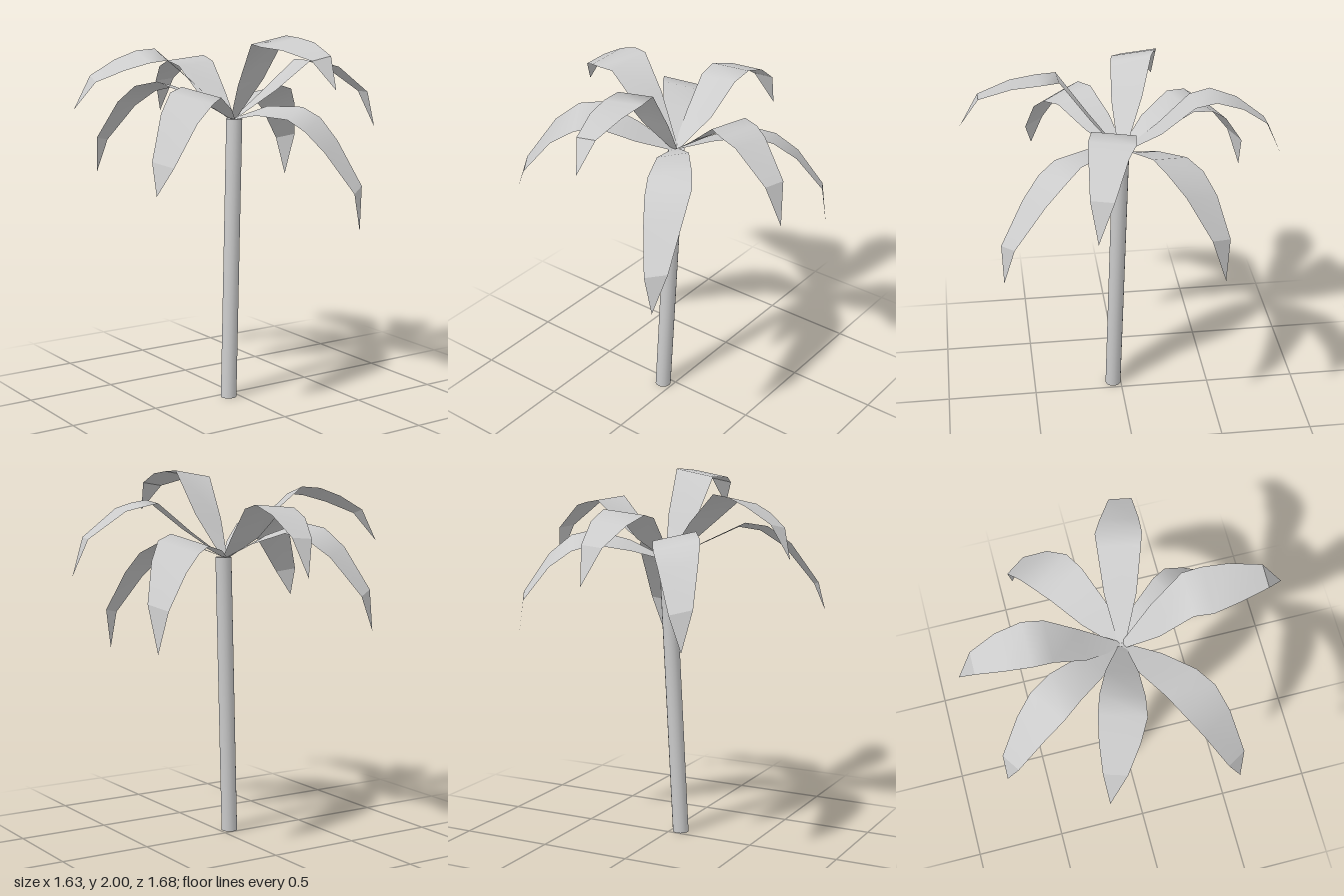
import * as THREE from 'three';

const grey = new THREE.MeshStandardMaterial({ color: 0xcccccc, side: THREE.DoubleSide });

// Full blade width at each station from root to tip
const widths = [0.04, 0.165, 0.222, 0.238, 0.2, 0.12, 0];

// Each leaf: heading at the middle and at the tip (degrees from +x towards +z),
// roll (height gained across the blade) and the [radius, height] path of its midline
const leaves = [
  { heading: [12.4, 14.5], roll: 0.01, path: [[0.01, 1.54], [0.22, 1.69], [0.41, 1.845], [0.49, 1.83], [0.58, 1.805], [0.77, 1.66], [0.84, 1.46]] },
  { heading: [57, 61.5], roll: -0.05, path: [[0.01, 1.54], [0.17, 1.59], [0.36, 1.585], [0.46, 1.53], [0.57, 1.42], [0.73, 1.205], [0.75, 0.99]] },
  { heading: [89.3, 86.6], roll: -0.04, path: [[0.01, 1.54], [0.17, 1.75], [0.33, 1.98], [0.43, 1.972], [0.57, 1.96], [0.74, 1.91], [0.84, 1.76]] },
  { heading: [147.2, 149.3], roll: 0.05, path: [[0.01, 1.54], [0.2, 1.63], [0.4, 1.72], [0.52, 1.7], [0.65, 1.61], [0.81, 1.4], [0.86, 1.25]] },
  { heading: [193.9, 198.2], roll: 0.05, path: [[0.01, 1.54], [0.22, 1.74], [0.4, 1.895], [0.5, 1.885], [0.62, 1.845], [0.76, 1.775], [0.86, 1.615]] },
  { heading: [238.3, 238.6], roll: -0.05, path: [[0.01, 1.54], [0.2, 1.64], [0.4, 1.71], [0.53, 1.68], [0.65, 1.59], [0.81, 1.385], [0.85, 1.19]] },
  { heading: [270.5, 273.4], roll: 0.02, path: [[0.01, 1.54], [0.2, 1.66], [0.37, 1.81], [0.48, 1.835], [0.62, 1.79], [0.76, 1.69], [0.845, 1.5]] },
  { heading: [329.4, 326.4], roll: 0.06, path: [[0.01, 1.54], [0.2, 1.615], [0.4, 1.66], [0.52, 1.63], [0.64, 1.54], [0.78, 1.35], [0.81, 1.12]] },
];

// A thin ribbon of paired edge points, ending in a creased pointed tip
function leafGeometry({ heading, roll, path }) {
  const [mid, tip] = heading;
  const sideAxis = THREE.MathUtils.degToRad(mid);
  const positions = [];
  const addRow = (i) => {
    const [r, y] = path[i];
    const a = THREE.MathUtils.degToRad(mid + (tip - mid) * Math.max(0, (i - 3) / 3));
    for (const s of [-0.5, 0.5]) {
      const w = s * widths[i];
      positions.push(
        r * Math.cos(a) - w * Math.sin(sideAxis),
        y + roll * w / 0.24,
        r * Math.sin(a) + w * Math.cos(sideAxis));
    }
  };
  // The row before the tip is repeated so the tip shades separately
  [0, 1, 2, 3, 4, 5, 5, 6].forEach(addRow);
  const index = [];
  for (let i = 0; i < 5; i++) {
    const k = i * 2;
    index.push(k, k + 1, k + 2, k + 1, k + 3, k + 2);
  }
  index.push(12, 13, 14);
  const geometry = new THREE.BufferGeometry();
  geometry.setAttribute('position', new THREE.Float32BufferAttribute(positions, 3));
  geometry.setIndex(index);
  geometry.computeVertexNormals();
  return geometry;
}

export function createModel() {
  const palm = new THREE.Group();
  palm.name = 'palmTree';

  // Leaning trunk with level ends
  const height = 1.54;
  const trunkGeometry = new THREE.CylinderGeometry(0.044, 0.044, height, 16);
  trunkGeometry.translate(0, height / 2, 0);
  trunkGeometry.applyMatrix4(new THREE.Matrix4().set(
    1, 0.064 / height, 0, -0.056,
    0, 1, 0, 0,
    0, -0.04 / height, 1, 0.045,
    0, 0, 0, 1));
  const trunk = new THREE.Mesh(trunkGeometry, grey);
  trunk.name = 'trunk';
  palm.add(trunk);

  // Crown of drooping leaves
  const crown = new THREE.Group();
  crown.name = 'crown';
  leaves.forEach((leaf, i) => {
    const mesh = new THREE.Mesh(leafGeometry(leaf), grey);
    mesh.name = `leaf${i + 1}`;
    crown.add(mesh);
  });
  palm.add(crown);
  return palm;
}
